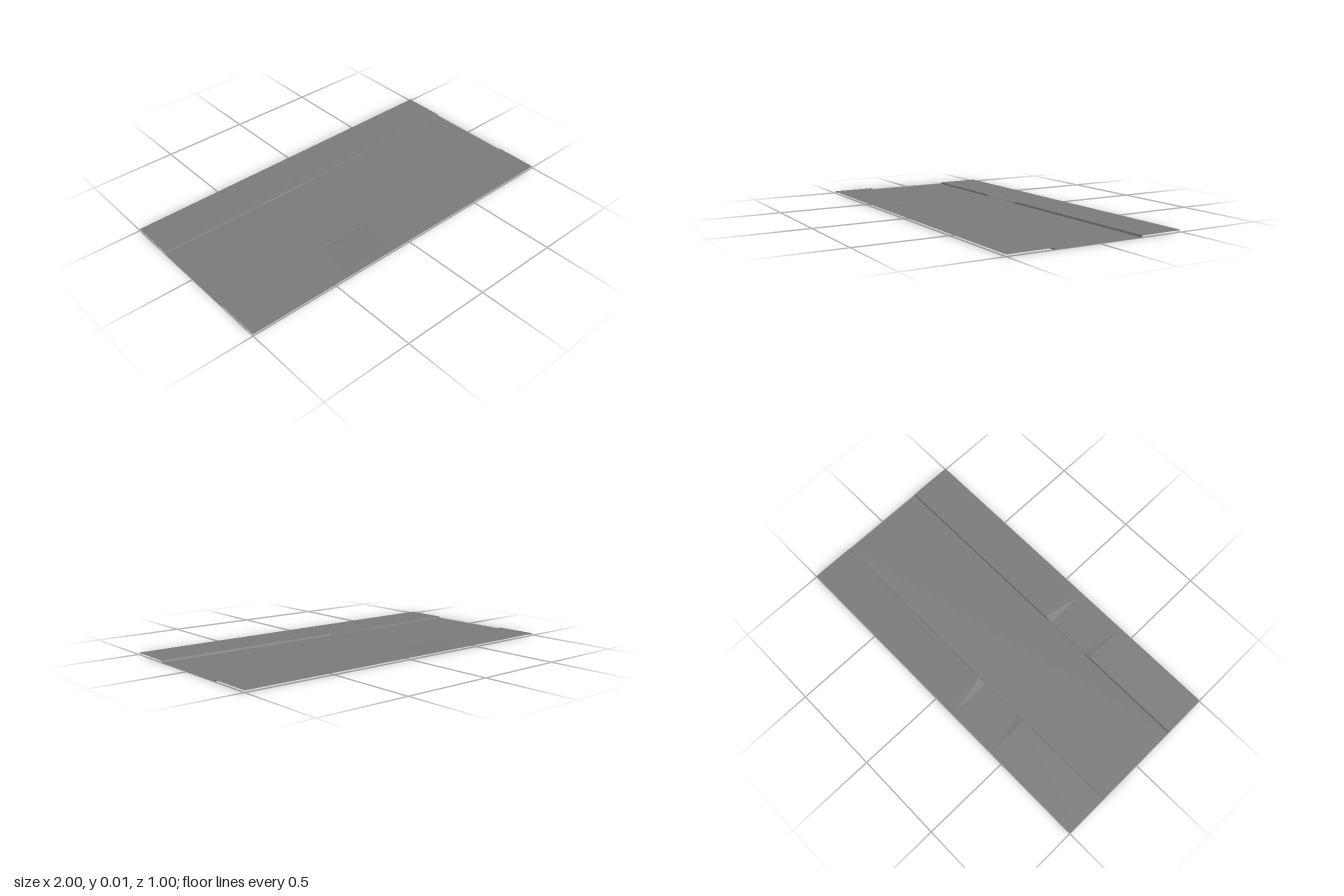
import * as THREE from 'three';

const TOP = 0.01;      // pavement height
const DROP = 0.003;    // kerb height at the crossing
const CENTRE = -0.25;  // x of the dropped kerb
const XS = [-1, -0.42, -0.375, -0.125, -0.08, 1];

// Kerb height along the road, lowered at the crossing
const kerbHeight = (x) =>
  THREE.MathUtils.lerp(DROP, TOP, THREE.MathUtils.clamp((Math.abs(x - CENTRE) - 0.125) / 0.045, 0, 1));

// Surface lofted along x from a cross-section given as [z, y] points
function loft(section, xs) {
  const rows = xs.map((x) => section(x).map(([z, y]) => [x, y, z]));
  const pos = [];
  for (let i = 0; i < rows.length - 1; i++) {
    for (let j = 0; j < rows[i].length - 1; j++) {
      const a = rows[i][j], b = rows[i][j + 1], c = rows[i + 1][j], d = rows[i + 1][j + 1];
      pos.push(...a, ...b, ...c, ...b, ...d, ...c);
    }
  }
  const geo = new THREE.BufferGeometry();
  geo.setAttribute('position', new THREE.Float32BufferAttribute(pos, 3));
  geo.computeVertexNormals();
  return geo;
}

export function createModel() {
  const group = new THREE.Group();
  const asphalt = new THREE.MeshStandardMaterial({ color: 0x7a7a7a, side: THREE.DoubleSide });
  asphalt.name = 'asphaltGrey';

  const add = (name, geo, parent) => {
    const mesh = new THREE.Mesh(geo, asphalt);
    mesh.name = name;
    parent.add(mesh);
  };

  // Flat carriageway
  add('road', loft(() => [[-0.25, 0], [0.25, 0]], [-1, 1]), group);

  // Kerb and pavement with a ramp down to the crossing, on both sides
  for (const side of [1, -1]) {
    const verge = new THREE.Group();
    verge.name = side > 0 ? 'frontVerge' : 'backVerge';
    add('kerb', loft((x) => [[0.25, 0], [0.255, kerbHeight(x)]], XS), verge);
    add('pavement', loft((x) => [[0.255, kerbHeight(x)], [0.46, TOP], [0.5, TOP]], XS), verge);
    verge.scale.z = side;
    group.add(verge);
  }
  return group;
}
